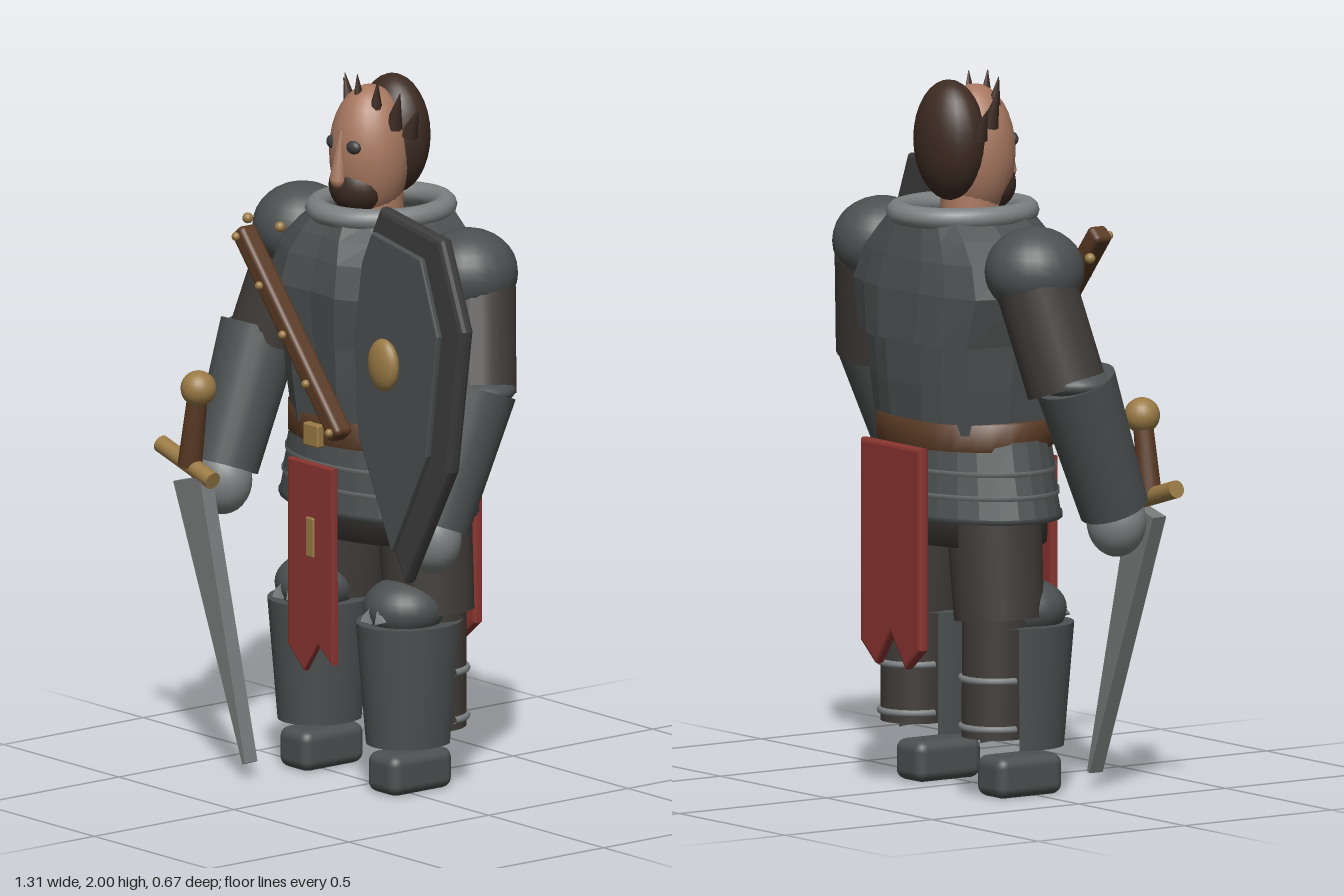
import * as THREE from 'three';
import { RoundedBoxGeometry } from 'three/addons/geometries/RoundedBoxGeometry.js';

const mat = (color, flatShading = false) => new THREE.MeshStandardMaterial({ color, flatShading, side: THREE.DoubleSide });
const STEEL = mat(0x4c5050), PLATE = mat(0x4c5050, true), LIGHT = mat(0x7c8080), DARK = mat(0x403c39), FRAME = mat(0x3c3c3d),
  LEATHER = mat(0x5a3a24), GOLD = mat(0x9a7a45), RED = mat(0x8a3530), SKIN = mat(0xa87860), HAIR = mat(0x3d2b22), BLADE = mat(0x777a7a, true);
const V = (x, y, z) => new THREE.Vector3(x, y, z);

// Unit outlines seen from above
const circle = (n) => Array.from({ length: n }, (_, j) => [Math.cos((j / n) * Math.PI * 2), Math.sin((j / n) * Math.PI * 2)]);
const flank = [[0.3, -1], [0.58, -0.92], [0.88, -0.77], [1, -0.2], [1, 0.42], [0.72, 0.76], [0.36, 1]];
const CUIRASS = [...flank, [0, 0.96], ...flank.map(([x, z]) => [-x, z]).reverse(), [0, -1]];

export function createModel() {
  const model = new THREE.Group();
  const body = new THREE.Group();
  body.name = 'body';
  body.position.x = -0.07;
  model.add(body);

  const add = (parent, name, geometry, material, x = 0, y = 0, z = 0) => {
    const mesh = new THREE.Mesh(geometry, material);
    mesh.name = name;
    mesh.position.set(x, y, z);
    parent.add(mesh);
    return mesh;
  };
  const ball = (parent, name, material, x, y, z, rx, ry = rx, rz = rx) =>
    add(parent, name, new THREE.SphereGeometry(1, 24, 16).scale(rx, ry, rz), material, x, y, z);
  const box = (parent, name, material, x, y, z, w, h, d, r = 0.006) =>
    add(parent, name, new RoundedBoxGeometry(w, h, d, 3, r), material, x, y, z);
  // Cylinder from point a (radius ra) to point b (radius rb)
  const limb = (parent, name, material, a, b, ra, rb, sides = 24) => {
    const dir = b.clone().sub(a);
    const mesh = add(parent, name, new THREE.CylinderGeometry(rb, ra, dir.length(), sides), material);
    mesh.position.copy(a).addScaledVector(dir, 0.5);
    mesh.quaternion.setFromUnitVectors(V(0, 1, 0), dir.normalize());
    return mesh;
  };
  // Shell through rings [y, halfWidth, backZ, frontZ] that follow an outline
  const loft = (rings, outline) => {
    const pos = [], index = [], n = outline.length;
    rings.forEach(([y, rx, z0, z1], i) => outline.forEach(([u, v], j) => {
      pos.push(rx * u, y, (z0 + z1) / 2 + ((z1 - z0) / 2) * v);
      const k = (j + 1) % n, p = i * n;
      if (i < rings.length - 1) index.push(p + j, p + n + j, p + k, p + n + j, p + n + k, p + k);
    }));
    const g = new THREE.BufferGeometry();
    g.setAttribute('position', new THREE.Float32BufferAttribute(pos, 3));
    g.setIndex(index);
    g.computeVertexNormals();
    return g;
  };
  // Bevelled slab from an outline, centred on z
  const slab = (parent, name, material, points, depth, z, bevel = 0.005) => {
    const shape = new THREE.Shape(points.map(([x, y]) => new THREE.Vector2(x, y)));
    const g = new THREE.ExtrudeGeometry(shape, { depth: depth - 2 * bevel, bevelEnabled: bevel > 0,
      bevelSize: bevel, bevelThickness: bevel, bevelOffset: -bevel, bevelSegments: 2 });
    return add(parent, name, g, material, 0, 0, z - depth / 2 + bevel);
  };

  // Cuirass: waist plate under a wider chest and back plate
  add(body, 'waistPlate', loft([[1.02, 0.245, -0.275, 0.14], [1.15, 0.262, -0.285, 0.155], [1.32, 0.28, -0.29, 0.165]], CUIRASS), PLATE);
  add(body, 'chestPlate', loft([[1.27, 0.26, -0.285, 0.14], [1.27, 0.288, -0.312, 0.17], [1.41, 0.328, -0.305, 0.18], [1.5, 0.29, -0.29, 0.16],
    [1.56, 0.23, -0.275, 0.135], [1.61, 0.175, -0.262, 0.1]], CUIRASS), PLATE);
  const collar = add(body, 'collar', new THREE.TorusGeometry(0.168, 0.031, 12, 40), LIGHT, 0, 1.615, -0.085);
  collar.rotation.x = Math.PI / 2;
  collar.scale.y = 1.1;
  add(body, 'collarLining', new THREE.CylinderGeometry(0.16, 0.16, 0.02, 32), DARK, 0, 1.57, -0.085);
  add(body, 'neck', new THREE.CylinderGeometry(0.08, 0.085, 0.14, 20), SKIN, 0, 1.61, -0.06);

  // Belt, flared skirt bands and hips
  const round = circle(28);
  add(body, 'belt', loft([[0.975, 0.26, -0.28, 0.13], [0.975, 0.285, -0.3, 0.15], [1.05, 0.285, -0.3, 0.15], [1.05, 0.24, -0.26, 0.12]], round), LEATHER);
  box(body, 'buckle', GOLD, 0, 1.0, 0.155, 0.065, 0.065, 0.03);
  for (let i = 0; i < 3; i++) {
    const y = 0.915 - i * 0.065, r = 0.308 + i * 0.014, b = -0.29 - i * 0.006, f = 0.138 + i * 0.004;
    add(body, 'skirtBand', loft([[y, r, b, f], [y + 0.085, r - 0.022, b + 0.012, f - 0.01]], round), PLATE);
    add(body, 'skirtTrim', loft([[y - 0.008, r - 0.008, b + 0.006, f - 0.006], [y - 0.008, r + 0.003, b - 0.003, f + 0.003],
      [y + 0.006, r + 0.003, b - 0.003, f + 0.003]], round), i < 2 ? LIGHT : STEEL);
  }
  add(body, 'hips', loft([[0.705, 0.02, -0.08, -0.06], [0.705, 0.285, -0.275, 0.115], [0.82, 0.29, -0.275, 0.115]], round), DARK);

  // Swallow-tailed cloths
  slab(body, 'frontCloth', RED, [[-0.1, 0.92], [-0.1, 0.39], [-0.03, 0.325], [0.03, 0.41], [0.095, 0.36], [0.095, 0.92]], 0.022, 0.157);
  box(body, 'clothClasp', GOLD, 0, 0.71, 0.165, 0.036, 0.115, 0.015);
  slab(body, 'backCloth', RED, [[-0.142, 0.985], [-0.142, 0.42], [-0.07, 0.36], [0, 0.46], [0.07, 0.36], [0.142, 0.42], [0.142, 0.985]], 0.034, -0.318, 0.01);

  // Head
  ball(body, 'head', SKIN, 0, 1.775, -0.045, 0.112, 0.19, 0.115);
  ball(body, 'backHair', HAIR, 0, 1.815, -0.13, 0.118, 0.168, 0.09);
  ball(body, 'beard', HAIR, 0, 1.685, 0.0, 0.086, 0.078, 0.075);
  limb(body, 'nose', SKIN, V(0, 1.71, 0.07), V(0, 1.85, 0.055), 0.024, 0.008, 14);
  ball(body, 'noseTip', SKIN, 0, 1.71, 0.068, 0.023);
  for (let i = 0; i < 7; i++) {
    const t = i / 3 - 1, a = t * 1.6;
    const root = V(Math.sin(a) * 0.1, 1.88 - 0.05 * t * t, -0.1 + Math.cos(a) * 0.09);
    const tip = V(Math.sin(a) * 0.14, 2.0 - 0.09 * t * t, -0.1 + Math.cos(a) * 0.1);
    limb(body, 'hairSpike', HAIR, root, tip, 0.026, 0.001, 8);
  }

  // Mirrored parts
  for (const s of [-1, 1]) {
    ball(body, 'eye', FRAME, s * 0.042, 1.808, 0.048, 0.027, 0.021, 0.018);

    // Arm
    ball(body, 'pauldron', STEEL, s * 0.36, 1.49, -0.1, 0.137, 0.123, 0.14);
    for (const x of [0.285, 0.425]) ball(body, 'pauldronRivet', GOLD, s * x, 1.52, 0.042, 0.015);
    limb(body, 'upperArm', DARK, V(s * 0.38, 1.45, -0.11), V(s * 0.45, 1.17, -0.055), 0.112, 0.112);
    limb(body, 'vambrace', STEEL, V(s * 0.468, 1.19, -0.04), V(s * 0.458, 0.82, 0.1), 0.114, 0.097);
    ball(body, 'elbow', STEEL, s * 0.468, 1.185, -0.04, 0.11, 0.045, 0.11);
    ball(body, 'hand', LIGHT, s * 0.455, 0.785, 0.11, 0.09, 0.1, 0.08);

    // Leg
    const leg = new THREE.Group();
    leg.name = 'leg';
    leg.position.x = s * 0.192;
    body.add(leg);
    limb(leg, 'thigh', DARK, V(0, 0.5, -0.1), V(-s * 0.03, 0.85, -0.1), 0.125, 0.135);
    limb(leg, 'calf', DARK, V(0, 0.17, -0.117), V(0, 0.52, -0.11), 0.09, 0.095);
    ball(leg, 'kneePlate', STEEL, 0, 0.52, -0.01, 0.115, 0.085, 0.115);
    for (const k of [-1, 1]) {
      const wing = add(leg, 'kneeWing', new THREE.ConeGeometry(0.024, 0.045, 4), LIGHT, k * 0.022, 0.515, 0.098);
      wing.rotation.z = k * 0.35;
    }
    add(leg, 'greave', new THREE.CylinderGeometry(0.136, 0.11, 0.345, 28, 1, true, -2.15, 4.3).scale(1, 1, 1.15), STEEL, 0, 0.31, -0.028);
    const greaveTop = add(leg, 'greaveRim', new THREE.CircleGeometry(0.136, 28).scale(1, 1.15, 1), STEEL, 0, 0.482, -0.028);
    greaveTop.rotation.x = -Math.PI / 2;
    for (const y of [0.2, 0.335]) {
      const strap = add(leg, 'calfStrap', new THREE.TorusGeometry(0.094, 0.01, 8, 24, Math.PI), LIGHT, 0, y, -0.112);
      strap.rotation.x = -Math.PI / 2;
    }
    box(leg, 'foot', STEEL, 0, 0.0575, -0.03, 0.128, 0.115, 0.22, 0.03);
  }

  // Diagonal strap with rivets
  const a = V(-0.295, 1.555, 0.225), b = V(0.135, 1.04, 0.225);
  const strap = box(model, 'diagonalStrap', LEATHER, -0.08, 1.2975, 0.225, 0.055, a.distanceTo(b), 0.06, 0.015);
  strap.rotation.z = Math.atan2(b.x - a.x, a.y - b.y);
  for (let i = 0; i < 5; i++) {
    const p = a.clone().lerp(b, 0.03 + i * 0.235);
    ball(model, 'strapRivet', GOLD, p.x, p.y, 0.26, 0.012);
  }

  // Sword
  const sword = new THREE.Group();
  sword.name = 'sword';
  model.add(sword);
  ball(sword, 'pommel', GOLD, -0.487, 1.065, 0.225, 0.05);
  limb(sword, 'grip', LEATHER, V(-0.525, 0.84, 0.225), V(-0.492, 1.04, 0.225), 0.034, 0.028, 16);
  limb(sword, 'crossguard', GOLD, V(-0.65, 0.878, 0.225), V(-0.425, 0.813, 0.225), 0.025, 0.025, 16);
  slab(sword, 'blade', BLADE, [[-0.57, 0.79], [-0.27, 0.04], [-0.258, 0.045], [-0.455, 0.82]], 0.045, 0.225, 0);

  // Shield
  const shield = new THREE.Group();
  shield.name = 'shield';
  model.add(shield);
  const outline = [[0.29, 1.72], [0.235, 1.61], [0.196, 1.36], [0.215, 1.03], [0.398, 0.67], [0.592, 1.02], [0.652, 1.43], [0.557, 1.675]];
  slab(shield, 'shieldFrame', FRAME, outline, 0.045, 0.197, 0.015);
  slab(shield, 'shieldFace', STEEL, outline.map(([x, y]) => [0.415 + (x - 0.42) * 0.79, 1.215 + (y - 1.195) * 0.85]), 0.02, 0.255);
  ball(shield, 'shieldBoss', GOLD, 0.414, 1.31, 0.305, 0.058, 0.074, 0.03);

  return model;
}
